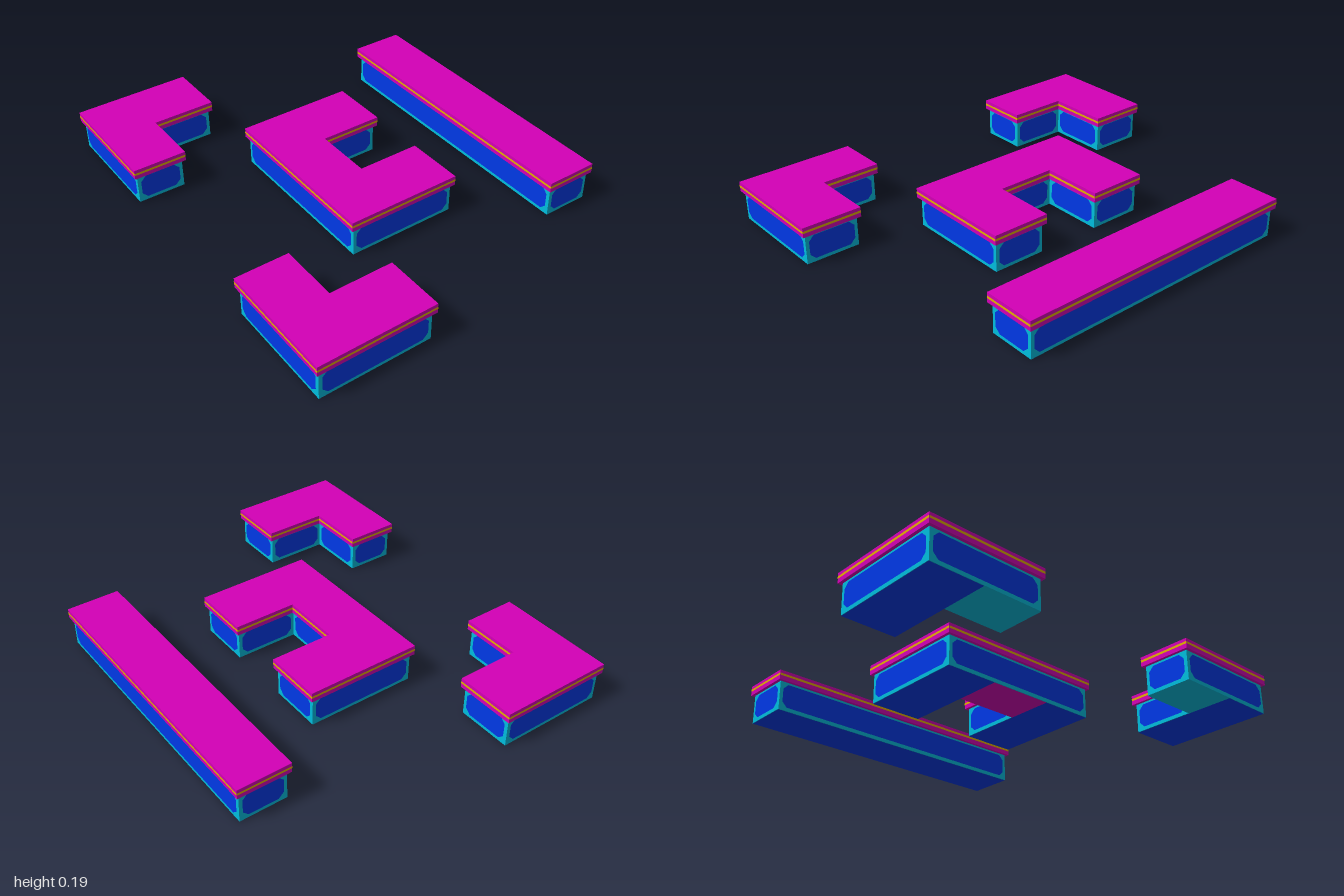
import * as THREE from 'three';

const mat = (name, color) => {
  const m = new THREE.MeshStandardMaterial({ color });
  m.name = name;
  return m;
};

export function createModel() {
  const magenta = mat('magenta', 0xd400b6);
  const teal = mat('teal', 0x00bede);
  const blue = mat('blue', 0x003aec);
  const gold = mat('gold', 0xe6b000);
  const BASE_TOP = 0.143, TOP = 0.19, INSET = 0.0145;

  const add = (group, name, geometry, material) => {
    const mesh = new THREE.Mesh(geometry, material);
    mesh.name = name;
    group.add(mesh);
    return mesh;
  };

  // Outline edges (x, -z, counter-clockwise) with their outward normals
  const edgesOf = (pts) => pts.map((a, i) => {
    const b = pts[(i + 1) % pts.length];
    const length = Math.hypot(b[0] - a[0], b[1] - a[1]);
    return { a, b, length, n: [(b[1] - a[1]) / length, (a[0] - b[0]) / length] };
  });

  // Shrink a right-angled outline
  const inset = (pts, d) => {
    const e = edgesOf(pts);
    return pts.map((p, i) => {
      const m = e[(i + pts.length - 1) % pts.length].n, n = e[i].n;
      return [p[0] - d * (m[0] + n[0]), p[1] - d * (m[1] + n[1])];
    });
  };

  const toShape = (pts) => new THREE.Shape(pts.map(([x, y]) => new THREE.Vector2(x, y)));

  const slab = (pts, y0, y1) =>
    new THREE.ExtrudeGeometry(toShape(pts), { depth: y1 - y0, bevelEnabled: false })
      .rotateX(-Math.PI / 2).translate(0, y0, 0);

  // Rectangle with cut corners
  const octagon = (w, h, c) => {
    const x = w / 2, y = h / 2;
    return new THREE.ShapeGeometry(toShape([
      [-x + c, -y], [x - c, -y], [x, -y + c], [x, y - c],
      [x - c, y], [-x + c, y], [-x, y - c], [-x, -y + c]]));
  };

  // Lay a flat plate against the middle of an outline edge
  const placeOnEdge = (mesh, { a, b, n }, y, gap) => {
    mesh.position.set((a[0] + b[0]) / 2 + n[0] * gap, y, -(a[1] + b[1]) / 2 - n[1] * gap);
    mesh.rotation.y = Math.atan2(n[0], -n[1]);
  };

  // floors: [material, x0, x1, z0, z1]
  const counter = (name, pts, floors) => {
    const g = new THREE.Group();
    g.name = name;
    const foot = inset(pts, INSET);
    add(g, 'base', slab(foot, 0.002, BASE_TOP), teal);
    add(g, 'worktop', slab(pts, BASE_TOP, TOP), magenta);
    for (const e of edgesOf(foot)) {
      const panel = add(g, 'sidePanel', octagon(e.length - 0.033, 0.114, 0.025), blue);
      placeOnEdge(panel, e, 0.0755, 0.0015);
    }
    for (const e of edgesOf(pts)) {
      const stripe = add(g, 'edgeStripe', new THREE.PlaneGeometry(e.length, 0.011), gold);
      placeOnEdge(stripe, e, 0.169, 0.001);
    }
    for (const [material, x0, x1, z0, z1] of floors) {
      const plate = new THREE.PlaneGeometry(x1 - x0, z1 - z0).rotateX(Math.PI / 2);
      add(g, 'underside', plate.translate((x0 + x1) / 2, 0, (z0 + z1) / 2), material);
    }
    return g;
  };

  const model = new THREE.Group();
  model.name = 'counters';

  // Straight counter at the back
  model.add(counter('backCounter',
    [[-0.713, 0.589], [0.713, 0.589], [0.713, 0.842], [-0.713, 0.842]],
    [[blue, -0.698, 0.698, -0.827, -0.604]]));

  // U-shaped counter in the middle, open to the back
  model.add(counter('middleCounter',
    [[-0.427, -0.27], [0.427, -0.27], [0.427, 0.287], [0.142, 0.287],
      [0.142, -0.015], [-0.142, -0.015], [-0.142, 0.287], [-0.427, 0.287]],
    [[blue, 0.157, 0.412, -0.272, 0.255], [blue, -0.412, -0.157, -0.272, 0.255],
      [magenta, -0.157, 0.157, 0.03, 0.255]]));

  // Mirrored L-shaped counters at the front corners
  const corner = [[0.427, -0.842], [1, -0.842], [1, -0.285], [0.713, -0.285],
    [0.713, -0.587], [0.427, -0.587]];
  for (const side of [1, -1]) {
    const pts = corner.map(([x, y]) => [x * side, y]);
    if (side < 0) pts.reverse();
    const span = (a, b) => (side > 0 ? [a, b] : [-b, -a]);
    model.add(counter(side > 0 ? 'leftCornerCounter' : 'rightCornerCounter', pts,
      [[blue, ...span(0.728, 0.985), 0.3, 0.827], [teal, ...span(0.442, 0.728), 0.602, 0.827]]));
  }
  return model;
}
